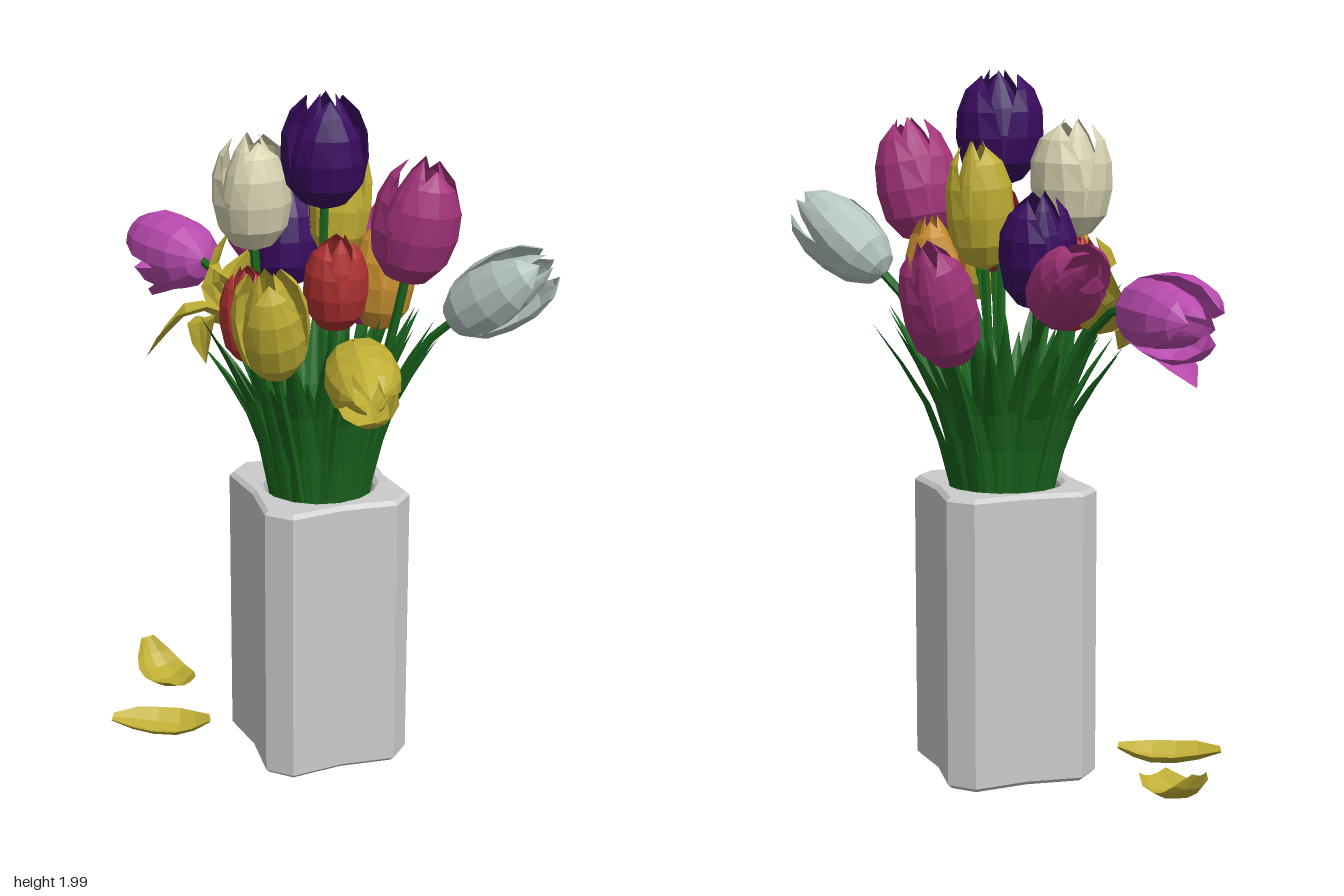
import * as THREE from 'three';

const V = (x, y, z) => new THREE.Vector3(x, y, z);
const CX = 0.035, CZ = -0.075; // vase axis

const materials = {};
function mat(color) {
  return materials[color] ??= new THREE.MeshStandardMaterial({ color, flatShading: true, side: THREE.DoubleSide });
}

// Surface through a grid of points: rows x cols, each given by at(i, j)
function gridGeometry(rows, cols, at) {
  const pos = [], idx = [];
  for (let i = 0; i < rows; i++) {
    for (let j = 0; j < cols; j++) {
      pos.push(...at(i, j).toArray());
      if (i < rows - 1 && j < cols - 1) {
        const a = i * cols + j, b = a + cols;
        idx.push(a, a + 1, b, b, a + 1, b + 1);
      }
    }
  }
  const g = new THREE.BufferGeometry();
  g.setAttribute('position', new THREE.Float32BufferAttribute(pos, 3));
  g.setIndex(idx);
  g.computeVertexNormals();
  return g;
}

function addMesh(parent, name, geometry, color) {
  const m = new THREE.Mesh(geometry, mat(color));
  m.name = name;
  parent.add(m);
}

// Cupped ribbon along a curve, used for leaves and loose petals
function blade(points, halfWidth, widths, cup, hint) {
  const curve = new THREE.CatmullRomCurve3(points), rows = widths.length;
  return gridGeometry(rows, 5, (i, j) => {
    const t = i / (rows - 1), s = j / 2 - 1, w = halfWidth * widths[i];
    const tangent = curve.getTangent(t);
    const side = tangent.clone().cross(hint).normalize();
    const normal = side.clone().cross(tangent).normalize();
    return curve.getPoint(t).addScaledVector(side, w * s).addScaledVector(normal, w * cup * s * s);
  });
}

// Petal profile from base to tip: height, radius, half angle
const PY = [0, 0.06, 0.22, 0.45, 0.68, 0.87, 1];
const PR = [0.1, 0.55, 0.9, 1, 0.92, 0.7, 0.4];
const PW = [1.0, 1.05, 1.05, 0.98, 0.85, 0.6, 0];

function cupPetal(length, radius, open, angle) {
  return gridGeometry(PY.length, 5, (i, j) => {
    const s = j / 2 - 1, a = angle + s * PW[i];
    const r = radius * PR[i] * (1 + open * PY[i] ** 2) * (1 - 0.05 * s * s);
    return V(Math.sin(a) * r, length * PY[i], Math.cos(a) * r);
  });
}

// Flower head with three outer and three inner petals; the outer ones open unevenly
function flowerHead(base, tip, radius, color, open) {
  const head = new THREE.Group();
  head.name = 'flowerHead';
  const dir = tip.clone().sub(base), length = dir.length();
  for (let k = 0; k < 6; k++) {
    const angle = k * Math.PI / 3 + base.x * 9;
    const g = k % 2
      ? cupPetal(length, radius * 0.9, open * 0.3 - 0.45, angle)
      : cupPetal(length * 0.96, radius, open + k * 0.05, angle);
    addMesh(head, k % 2 ? 'innerPetal' : 'outerPetal', g, color);
  }
  head.position.copy(base);
  head.quaternion.setFromUnitVectors(V(0, 1, 0), dir.normalize());
  return head;
}

// Stem that leaves the vase upright and bends into the head's direction
function stem(base, dir) {
  const dx = base.x - CX, dz = base.z - CZ, k = Math.min(1, 0.12 / Math.hypot(dx, dz));
  const foot = V(CX + dx * k * 0.6, 0.4, CZ + dz * k * 0.6);
  const neck = V(CX + dx * k, 0.95, CZ + dz * k);
  const bend = base.clone().addScaledVector(dir, -0.2);
  const path = new THREE.CubicBezierCurve3(foot, neck, bend, base.clone().addScaledVector(dir, 0.02));
  return new THREE.TubeGeometry(path, 12, 0.013, 6);
}

// Four-lobed outline: flat lobe ends on the axes, shallow notches on the diagonals
function vaseOutline(scale) {
  const pts = [];
  for (let k = 0; k < 4; k++) {
    for (const [deg, r] of [[-8.5, 0.27], [8.5, 0.27], [45, 0.2]]) {
      const a = (k * 90 + deg) * Math.PI / 180;
      pts.push(new THREE.Vector2(Math.cos(a) * r * scale, Math.sin(a) * r * scale));
    }
  }
  return new THREE.Shape(pts);
}

function buildVase() {
  const vase = new THREE.Group();
  vase.name = 'vase';
  const shape = vaseOutline(0.955);
  shape.holes.push(new THREE.Path().absarc(0, 0, 0.173, 0, Math.PI * 2, true));
  const wall = new THREE.ExtrudeGeometry(shape, { depth: 0.815, bevelSize: 0.012, bevelThickness: 0.012, bevelSegments: 1, curveSegments: 8 });
  wall.rotateX(-Math.PI / 2).translate(0, 0.012, 0);
  addMesh(vase, 'vaseWall', wall, 0xcccccc);
  const floor = new THREE.ExtrudeGeometry(vaseOutline(0.9), { depth: 0.04, bevelEnabled: false });
  floor.rotateX(-Math.PI / 2).translate(0, 0.003, 0);
  addMesh(vase, 'vaseFloor', floor, 0xcccccc);
  vase.position.set(CX, 0, CZ);
  return vase;
}

const PURPLE = 0x3a0b60, CREAM = 0xd6d2b0, MAGENTA = 0xa5347c, SILVER = 0xb4c4be,
  RED = 0xb03232, YELLOW = 0xc0ae34, ORANGE = 0xc68c2e, PINK = 0xb84aae, GREEN = 0x1b661e;

// Base point, tip point, radius, colour, openness
const FLOWERS = [
  [[0.065, 1.67, -0.04], [0.07, 1.99, -0.045], 0.118, PURPLE, 0.1],
  [[-0.14, 1.53, -0.02], [-0.15, 1.86, -0.02], 0.11, CREAM, 0.2],
  [[0.32, 1.5, -0.01], [0.385, 1.85, -0.01], 0.118, MAGENTA, 0.1],
  [[0.45, 1.4, -0.02], [0.73, 1.61, -0.025], 0.1, SILVER, 0.2],
  [[0.185, 1.4, 0.16], [0.215, 1.67, 0.19], 0.088, RED, 0.05],
  [[-0.085, 1.25, 0.11], [-0.09, 1.53, 0.14], 0.083, RED, 0.05],
  [[0.065, 1.28, 0.26], [0.08, 1.6, 0.36], 0.1, YELLOW, 0.15],
  [[0.32, 1.39, 0.32], [0.48, 1.36, 0.575], 0.098, YELLOW, 0.1],
  [[0.16, 1.28, -0.205], [0.18, 1.6, -0.23], 0.09, ORANGE, 0.1],
  [[0.01, 1.46, -0.24], [0.02, 1.81, -0.275], 0.09, YELLOW, 0.1],
  [[-0.14, 1.36, -0.22], [-0.17, 1.68, -0.27], 0.11, PURPLE, 0],
  [[0.03, 1.22, -0.38], [0.03, 1.56, -0.55], 0.1, MAGENTA, 0.05],
  [[-0.24, 1.38, -0.36], [-0.45, 1.54, -0.54], 0.1, MAGENTA, 0],
  [[-0.43, 1.39, -0.27], [-0.72, 1.37, -0.43], 0.106, PINK, 0.35],
];

const PETAL_WIDTHS = [0.3, 0.75, 1, 1, 0.75, 0];
const LEAF_WIDTHS = [0.5, 0.8, 1, 1, 0.85, 0.5, 0];

export function createModel() {
  const model = new THREE.Group();
  model.name = 'tulipBouquet';
  model.add(buildVase());

  for (const [b, t, radius, color, open] of FLOWERS) {
    const base = V(...b), tip = V(...t), flower = new THREE.Group();
    flower.name = 'flower';
    addMesh(flower, 'stem', stem(base, tip.clone().sub(base).normalize()), GREEN);
    flower.add(flowerHead(base, tip, radius, color, open));
    model.add(flower);
  }

  // Petal drooping from the open flower
  addMesh(model, 'droopingPetal', blade(
    [V(-0.44, 1.37, -0.27), V(-0.54, 1.28, -0.32), V(-0.68, 1.21, -0.4)],
    0.065, PETAL_WIDTHS, 0.4, V(0, 1, 0)), PINK);

  // Wilting flower with spread petals: middle and tip of each
  const wilt = new THREE.Group(), heart = V(-0.21, 1.28, -0.06);
  wilt.name = 'wiltingFlower';
  addMesh(wilt, 'stem', stem(heart, V(-0.5, 0.8, 0).normalize()), GREEN);
  for (const [mid, tip] of [
    [[-0.32, 1.33, 0.0], [-0.45, 1.19, 0.06]],
    [[-0.29, 1.43, -0.09], [-0.26, 1.55, -0.11]],
    [[-0.28, 1.36, -0.17], [-0.29, 1.44, -0.29]],
    [[-0.26, 1.33, 0.02], [-0.24, 1.21, 0.09]],
    [[-0.22, 1.4, -0.12], [-0.2, 1.5, -0.18]],
  ]) addMesh(wilt, 'spreadPetal', blade([heart, V(...mid), V(...tip)], 0.085, PETAL_WIDTHS, 0.25, V(-0.5, 0.8, 0.1)), YELLOW);
  model.add(wilt);

  // Two fallen petals beside the vase
  addMesh(model, 'fallenPetal', blade(
    [V(-0.26, 0.05, 0.06), V(-0.33, 0.015, 0.09), V(-0.44, 0.015, 0.13), V(-0.54, 0.045, 0.17)],
    0.078, [0.3, 0.75, 1, 1, 0.85, 0.3], 0.5, V(0, 1, 0)), YELLOW);
  addMesh(model, 'curledPetal', blade(
    [V(-0.44, 0.05, -0.11), V(-0.5, 0.02, -0.15), V(-0.57, 0.025, -0.19), V(-0.61, 0.06, -0.215), V(-0.64, 0.12, -0.235)],
    0.075, [0.6, 0.95, 1, 0.95, 0.75, 0.3], 0.4, V(0, 1, 0)), YELLOW);

  // Leaves in a golden-angle spiral, the outer ones leaning further
  const COUNT = 40;
  for (let k = 0; k < COUNT; k++) {
    const a = k * 2.4, f = 0.35 + 0.65 * Math.sqrt(k / (COUNT - 1));
    const out = V(Math.cos(a), 0, Math.sin(a));
    const top = 1.22 + 0.18 * ((k * 0.37) % 1);
    const at = (r, y) => V(CX + out.x * r * f, y, CZ + out.z * r * f);
    const path = [at(0.1, 0.5), at(0.16, 0.84), at(0.23, 0.84 + (top - 0.84) * 0.5), at(0.37, top)];
    addMesh(model, 'leaf', blade(path, 0.043, LEAF_WIDTHS, -0.4, out.clone().setY(0.1)), GREEN);
  }
  return model;
}
